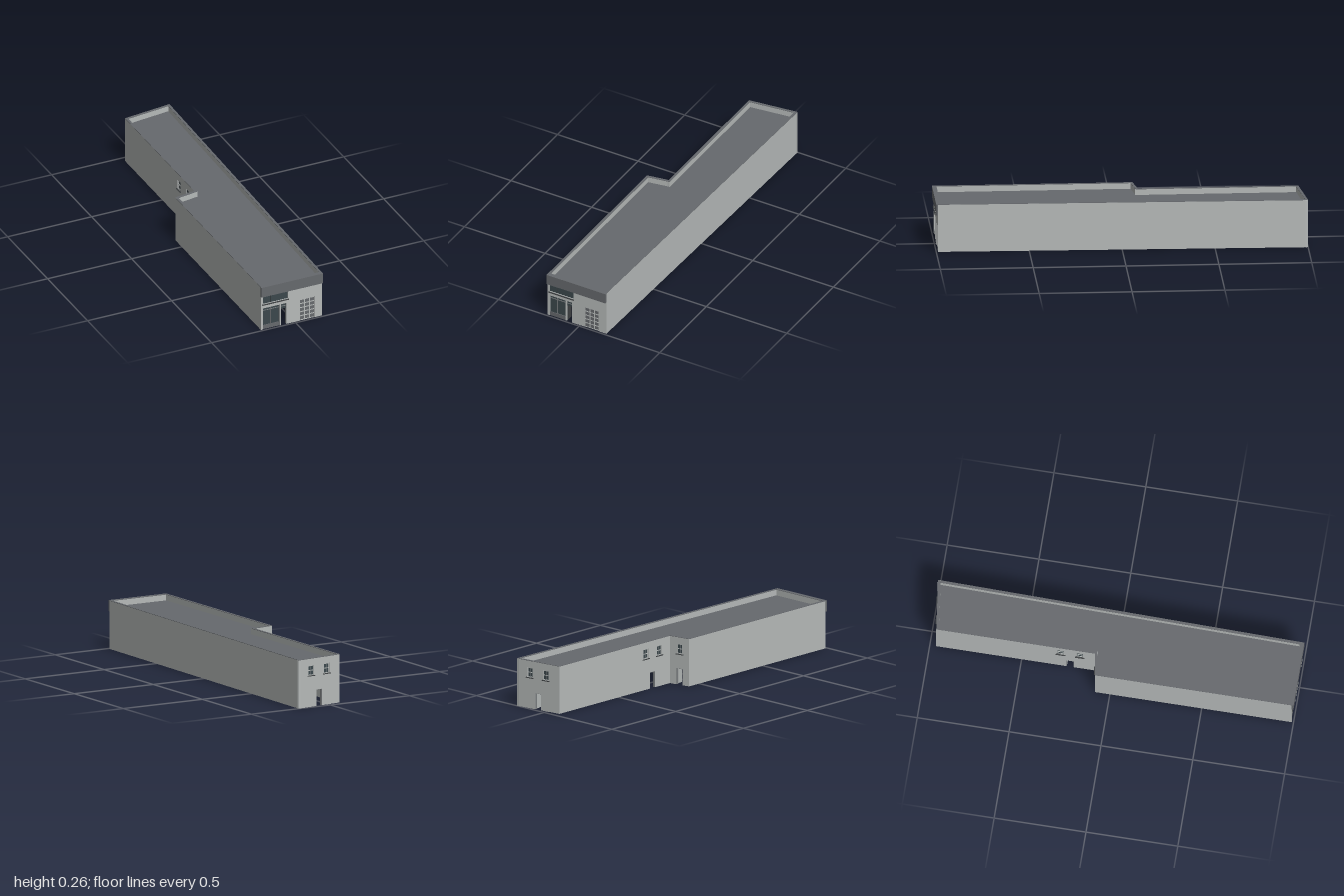
import * as THREE from 'three';

const mat = (name, color) => {
  const m = new THREE.MeshStandardMaterial({ color });
  m.name = name;
  return m;
};

export function createModel() {
  const M = {
    wall: mat('pale grey render', 0xb6bab9),
    roof: mat('slate grey', 0x66696d),
    frame: mat('mid grey frame', 0x7a7e80),
    glass: mat('dark glass', 0x3b474c),
    dark: mat('charcoal', 0x3f4244),
  };
  const H = 0.265, CAP = 0.002, T = 0.014, LINING = 0.004;
  const model = new THREE.Group();
  model.name = 'building';

  // Footprint corners (x, z), in order around the outside
  const plan = [[-0.202, 0.99], [0.163, 0.99], [0.201, -1], [-0.08, -0.965], [-0.08, -0.1], [-0.202, -0.08]];

  const add = (parent, name, geo, material) => {
    const m = new THREE.Mesh(geo, material);
    m.name = name;
    parent.add(m);
    return m;
  };
  // Box given by its limits in wall space: u along, v up, n outward
  const slab = (parent, name, material, u0, u1, v0, v1, n0, n1) => {
    const m = add(parent, name, new THREE.BoxGeometry(u1 - u0, v1 - v0, n1 - n0), material);
    m.position.set((u0 + u1) / 2, (v0 + v1) / 2, (n0 + n1) / 2);
  };
  const rect = (u0, u1, v0, v1) => new THREE.Path([[u0, v0], [u1, v0], [u1, v1], [u0, v1]]
    .map(p => new THREE.Vector2(...p)));

  // Wall: an outer skin with window and bay recesses, and a lining cut only by doorways
  function makeWall(name, i, { doors = [], bays = [], windows = [], extend = 0 } = {}) {
    const a = plan[i], b = plan[(i + 1) % plan.length];
    const dx = b[0] - a[0], dz = b[1] - a[1], len = Math.hypot(dx, dz) + extend;
    const g = new THREE.Group();
    g.name = name;
    g.position.set(a[0], 0, a[1]);
    g.rotation.y = Math.atan2(-dz, dx);
    const layer = (part, cuts, holes, n0, n1) => {
      const s = new THREE.Shape();
      s.moveTo(0, 0);
      for (const [u0, u1, v] of cuts) {
        s.lineTo(u0, 0); s.lineTo(u0, v); s.lineTo(u1, v); s.lineTo(u1, 0);
      }
      s.lineTo(len, 0); s.lineTo(len, H - CAP); s.lineTo(0, H - CAP);
      for (const h of holes) s.holes.push(rect(...h));
      const geo = new THREE.ExtrudeGeometry(s, { depth: n1 - n0, bevelEnabled: false });
      add(g, name + part, geo.translate(0, 0, n0), M.wall);
    };
    layer('Skin', [...doors, ...bays].sort((p, q) => p[0] - q[0]), windows, LINING - T, 0);
    layer('Lining', doors, [], -T, LINING - T);
    model.add(g);
    return g;
  }

  // Door frame with a leaf standing open inwards
  function openDoor(g, [u0, u1, top], leafTop, leafMaterial) {
    const f = 0.002;
    slab(g, 'doorJamb', M.frame, u0, u0 + f, 0, top, -T, -0.002);
    slab(g, 'doorJamb', M.frame, u1 - f, u1, 0, top, -T, -0.002);
    slab(g, 'doorHead', M.frame, u0, u1, top - f, top, -T, -0.002);
    slab(g, 'doorLeaf', leafMaterial, u0 + f, u0 + f + 0.002, 0.003, leafTop, -T - (u1 - u0) + 0.004, -T + 0.002);
  }

  // Two-sash window with pale frames and a projecting sill
  function sashWindow(g, [u0, u1, v0, v1]) {
    const f = 0.0035, mid = (v0 + v1) / 2, c = (u0 + u1) / 2;
    slab(g, 'windowGlass', M.glass, u0, u1, v0, v1, -0.011, -0.006);
    for (const v of [v0, mid - f / 2, v1 - f]) slab(g, 'windowRail', M.wall, u0, u1, v, v + f, -0.008, -0.003);
    for (const u of [u0, u1 - f]) slab(g, 'windowStile', M.wall, u, u + f, v0, v1, -0.008, -0.0035);
    slab(g, 'glazingBar', M.frame, c - 0.001, c + 0.001, v0, v1, -0.008, -0.004);
    slab(g, 'windowSill', M.dark, u0 - 0.006, u1 + 0.006, v0 - 0.004, v0, -0.008, 0.006);
  }

  // Front wall: openings measured from its left corner
  const X = x => x + 0.202;
  const shop = [X(-0.193), X(-0.089), 0.13];
  const entry = [X(-0.083), X(-0.05), 0.13];
  const garage = [X(0.027), X(0.119), 0.13];
  const upper = [X(-0.192), X(-0.04), 0.156, 0.199];
  const front = makeWall('frontWall', 0, { doors: [entry], bays: [shop, garage], windows: [upper] });

  // Shop window: glass, lower panel and frame bars
  slab(front, 'shopGlass', M.glass, shop[0], shop[1], 0.02, 0.13, -0.011, -0.006);
  slab(front, 'shopLowerPanel', M.roof, shop[0], shop[1], 0, 0.024, -0.011, -0.003);
  for (const x of [-0.193, -0.1435, -0.093]) slab(front, 'shopMullion', M.frame, X(x), X(x) + 0.004, 0.024, 0.13, -0.008, -0.003);
  for (const y of [0.113, 0.127]) slab(front, 'shopRail', M.frame, shop[0], shop[1], y, y + 0.003, -0.008, -0.0035);

  // Upper window with its long sill
  slab(front, 'upperGlass', M.glass, ...upper, -0.011, -0.005);
  slab(front, 'upperMullion', M.dark, X(-0.1415), X(-0.1395), 0.156, 0.199, -0.006, -0.003);
  slab(front, 'upperSill', M.dark, X(-0.195), X(-0.037), 0.15, 0.1545, -0.008, 0.006);

  // Entrance: open doorway under a glazed transom
  openDoor(front, entry, 0.097, M.dark);
  slab(front, 'transomGlass', M.glass, entry[0], entry[1], 0.098, 0.128, -0.011, -0.006);
  slab(front, 'transomBar', M.frame, entry[0], entry[1], 0.113, 0.116, -0.008, -0.003);

  // Garage door: dark panels behind a pale lattice
  slab(front, 'garagePanels', M.roof, garage[0], garage[1], 0, 0.13, -0.011, -0.005);
  for (let i = 0; i < 4; i++) {
    const u = garage[0] + i * 0.0292;
    slab(front, 'garageStile', M.wall, u, u + 0.0044, 0, 0.13, -0.006, -0.002);
  }
  for (let i = 0; i < 6; i++) {
    const v = i * 0.0251;
    slab(front, 'garageRail', M.wall, garage[0], garage[1], v, v + 0.0044, -0.006, -0.0025);
  }

  // Plain long walls
  makeWall('rightWall', 1);
  makeWall('leftWall', 5);

  // Rear-facing walls with sash windows and open doors
  const rear = [
    ['backWall', 2, [0.122, 0.162, 0.09], [[0.068, 0.106], [0.174, 0.212]], 0],
    ['yardWall', 3, [0.708, 0.75, 0.09], [[0.657, 0.697], [0.762, 0.802]], T],
    ['yardEndWall', 4, [0.042, 0.082, 0.09], [[0.045, 0.081]], 0],
  ];
  for (const [name, i, door, spans, extend] of rear) {
    const windows = spans.map(([u0, u1]) => [u0, u1, 0.172, 0.226]);
    const g = makeWall(name, i, { doors: [door], windows, extend });
    windows.forEach(w => sashWindow(g, w));
    openDoor(g, door, 0.088, M.wall);
  }

  // Plan outline moved inwards by d
  const pts = plan.map(([x, z]) => new THREE.Vector2(x, -z));
  const inset = d => pts.map((p, i) => {
    const a = p.clone().sub(pts[(i + 5) % 6]).normalize();
    const b = pts[(i + 1) % 6].clone().sub(p).normalize();
    const k = d / (1 + a.dot(b));
    return new THREE.Vector2(p.x - (a.y + b.y) * k, p.y + (a.x + b.x) * k);
  });
  const flat = (shape, depth, y) => new THREE.ExtrudeGeometry(shape, { depth, bevelEnabled: false })
    .rotateX(-Math.PI / 2).translate(0, y, 0);

  // Flat roof sunk behind the parapet, pale ceiling below it, and the parapet cap
  const deck = new THREE.Shape(inset(T / 2));
  add(model, 'roofDeck', flat(deck, 0.008, 0.224), M.roof);
  add(model, 'ceiling', flat(deck, 0.003, 0.221), M.wall);
  const ring = new THREE.Shape(pts);
  ring.holes.push(new THREE.Path(inset(T)));
  add(model, 'parapetCap', flat(ring, CAP, H - CAP), M.roof);

  // Fascia band across the front
  slab(model, 'fascia', M.roof, -0.203, 0.163, 0.205, H, 0.99, 1);
  return model;
}
